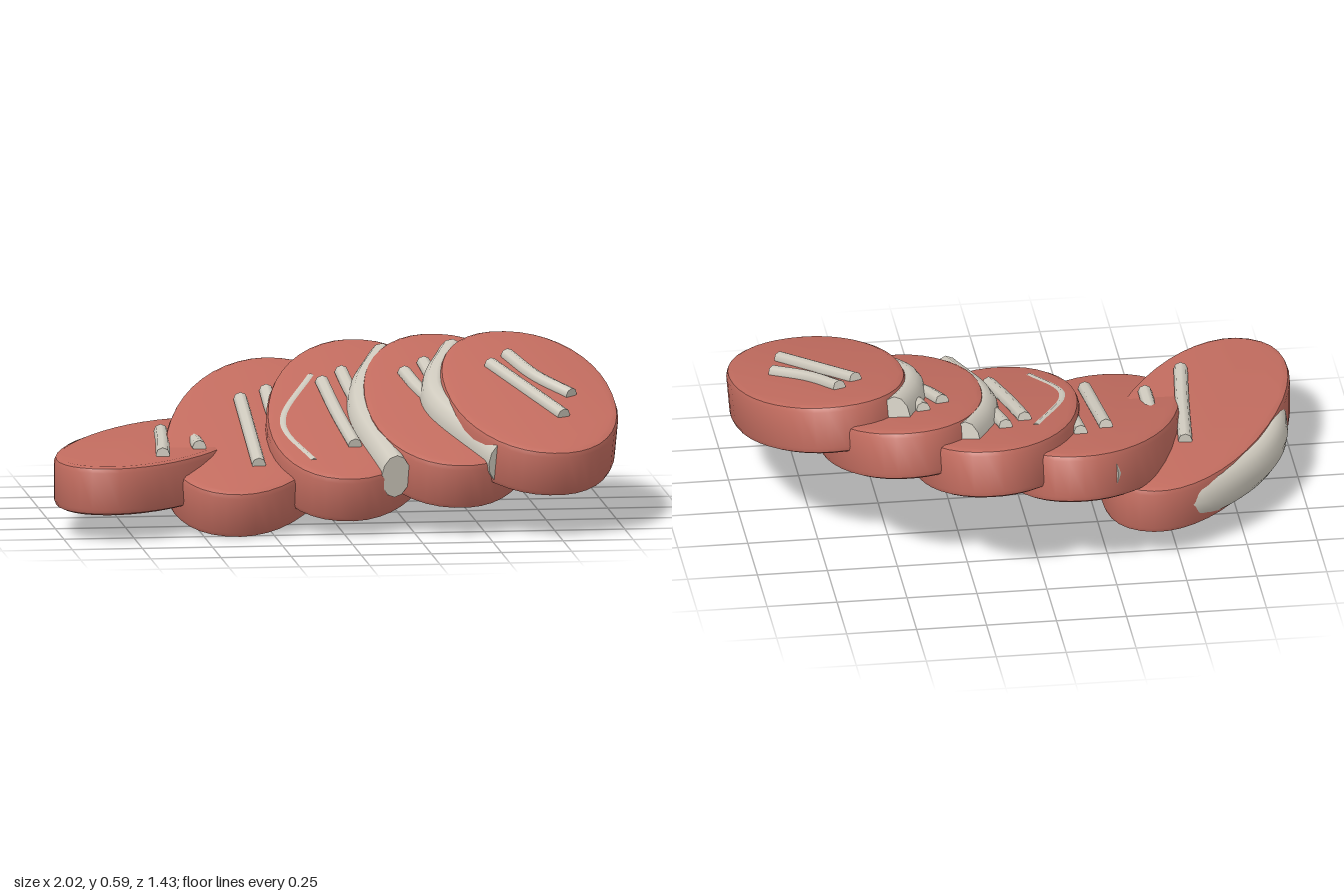
import * as THREE from 'three';
import { mergeGeometries, toCreasedNormals } from 'three/addons/utils/BufferGeometryUtils.js';

const THICK = 0.174;

// Each slice: centre, half width, half length, yaw, height of top at z = 0, pitch, roll.
// fat and veins are plan (x, z) points in model space.
const SLICES = [
  { cx: -0.635, cz: 0.02, a: 0.278, b: 0.63, yaw: 0.45, top: 0.28, pitch: 0, roll: 0, fatHeight: 0.078,
    fat: [[-0.93, 0.2], [-0.9, -0.05], [-0.78, -0.28], [-0.58, -0.46], [-0.42, -0.49]],
    veins: [[[-0.57, -0.2], [-0.6, 0.1], [-0.63, 0.36]], [[-0.48, 0.03], [-0.48, 0.2]]] },
  { cx: -0.26, cz: -0.055, a: 0.3, b: 0.65, yaw: 0.26, top: 0.32, pitch: 0.245, roll: 0, fatHeight: 0.08,
    fat: [[-0.23, -0.6], [-0.37, -0.4], [-0.48, -0.18], [-0.54, 0.05], [-0.53, 0.3]],
    veins: [[[-0.28, -0.25], [-0.285, 0.34]], [[-0.18, -0.32], [-0.18, -0.1], [-0.16, 0.15]]] },
  { cx: 0.09, cz: -0.065, a: 0.3, b: 0.66, yaw: 0.17, top: 0.37, pitch: 0.245, roll: -0.02, fatHeight: 0.092,
    fat: [[-0.02, -0.36], [-0.16, 0], [-0.17, 0.15], [-0.1, 0.4]],
    veins: [[[0.01, -0.26], [0.03, 0.02], [0.06, 0.31]], [[0.09, -0.35], [0.1, -0.2], [0.13, 0.1]]] },
  { cx: 0.42, cz: 0.02, a: 0.3, b: 0.618, yaw: 0.06, top: 0.432, pitch: 0.245, roll: -0.04, fatHeight: 0.08,
    fat: [[0.25, -0.48], [0.15, -0.2], [0.12, 0.05], [0.18, 0.53]],
    veins: [[[0.29, -0.17], [0.33, 0], [0.41, 0.2]], [[0.37, -0.26], [0.39, -0.1], [0.45, 0.1]]] },
  { cx: 0.695, cz: 0.15, a: 0.305, b: 0.568, yaw: -0.04, top: 0.506, pitch: 0.245, roll: -0.06, fatHeight: 0.075,
    fat: [[0.48, -0.32], [0.39, -0.05], [0.38, 0.15], [0.55, 0.6]],
    veins: [[[0.58, -0.04], [0.685, 0.18], [0.79, 0.4]], [[0.65, -0.13], [0.73, 0.06], [0.84, 0.21]]] },
];

// Rounded oval slab with a small bevel, lying flat and centred
function slabGeometry(a, b) {
  const power = 2 / 2.15, pts = [];
  for (let i = 0; i < 40; i++) {
    const t = (i / 40) * Math.PI * 2, c = Math.cos(t), s = Math.sin(t);
    pts.push(new THREE.Vector2(
      a * Math.sign(c) * Math.abs(c) ** power,
      b * Math.sign(s) * Math.abs(s) ** power));
  }
  const bevel = 0.022;
  const geo = new THREE.ExtrudeGeometry(new THREE.Shape(pts), {
    depth: THICK - 2 * bevel, bevelThickness: bevel, bevelSize: bevel,
    bevelOffset: -bevel, bevelSegments: 2, curveSegments: 1,
  });
  geo.rotateX(-Math.PI / 2);
  geo.center();
  return toCreasedNormals(geo, 0.6);
}

// Round strand with flat closed ends
function strandGeometry(points, radius, segments, sides) {
  const curve = new THREE.CatmullRomCurve3(points);
  const parts = [new THREE.TubeGeometry(curve, segments, radius, sides)];
  for (const end of [0, 1]) {
    const dir = curve.getTangentAt(end).multiplyScalar(end ? 1 : -1);
    const cap = new THREE.CircleGeometry(radius, sides);
    cap.applyQuaternion(new THREE.Quaternion().setFromUnitVectors(new THREE.Vector3(0, 0, 1), dir));
    const p = curve.getPointAt(end);
    cap.translate(p.x, p.y, p.z);
    parts.push(cap);
  }
  return mergeGeometries(parts);
}

export function createModel() {
  const meat = new THREE.MeshStandardMaterial({ color: 0xc26c5f });
  meat.name = 'meatRed';
  const fat = new THREE.MeshStandardMaterial({ color: 0xd0cbbf });
  fat.name = 'fatCream';

  const model = new THREE.Group();
  model.name = 'slicedMeat';

  for (const s of SLICES) {
    const slice = new THREE.Group();
    slice.name = 'slice';
    slice.position.set(s.cx, s.top - THICK / 2 / Math.cos(s.pitch) - Math.tan(s.pitch) * s.cz, s.cz);
    slice.rotation.set(s.pitch, 0, s.roll, 'XZY');
    model.add(slice);

    // Plan point to a point in the tilted slice at height y
    const local = (y) => ([x, z]) => new THREE.Vector3(
      x - s.cx, y, (z - s.cz - y * Math.sin(s.pitch)) / Math.cos(s.pitch));
    const add = (name, geo, mat) => {
      const mesh = new THREE.Mesh(geo, mat);
      mesh.name = name;
      slice.add(mesh);
      return mesh;
    };

    add('meatSlab', slabGeometry(s.a, s.b), meat).rotation.y = -s.yaw;

    // Fat rim along the left-hand edge, taller than wide
    const rimRadius = 0.052;
    add('fatRim', strandGeometry(s.fat.map(local(0)), rimRadius, 24, 12), fat)
      .scale.y = s.fatHeight / rimRadius;

    // Marbling strands on the top face
    for (const vein of s.veins) {
      add('marbling', strandGeometry(vein.map(local(THICK / 2 + 0.006)), 0.025, 12, 8), fat);
    }
  }
  return model;
}
